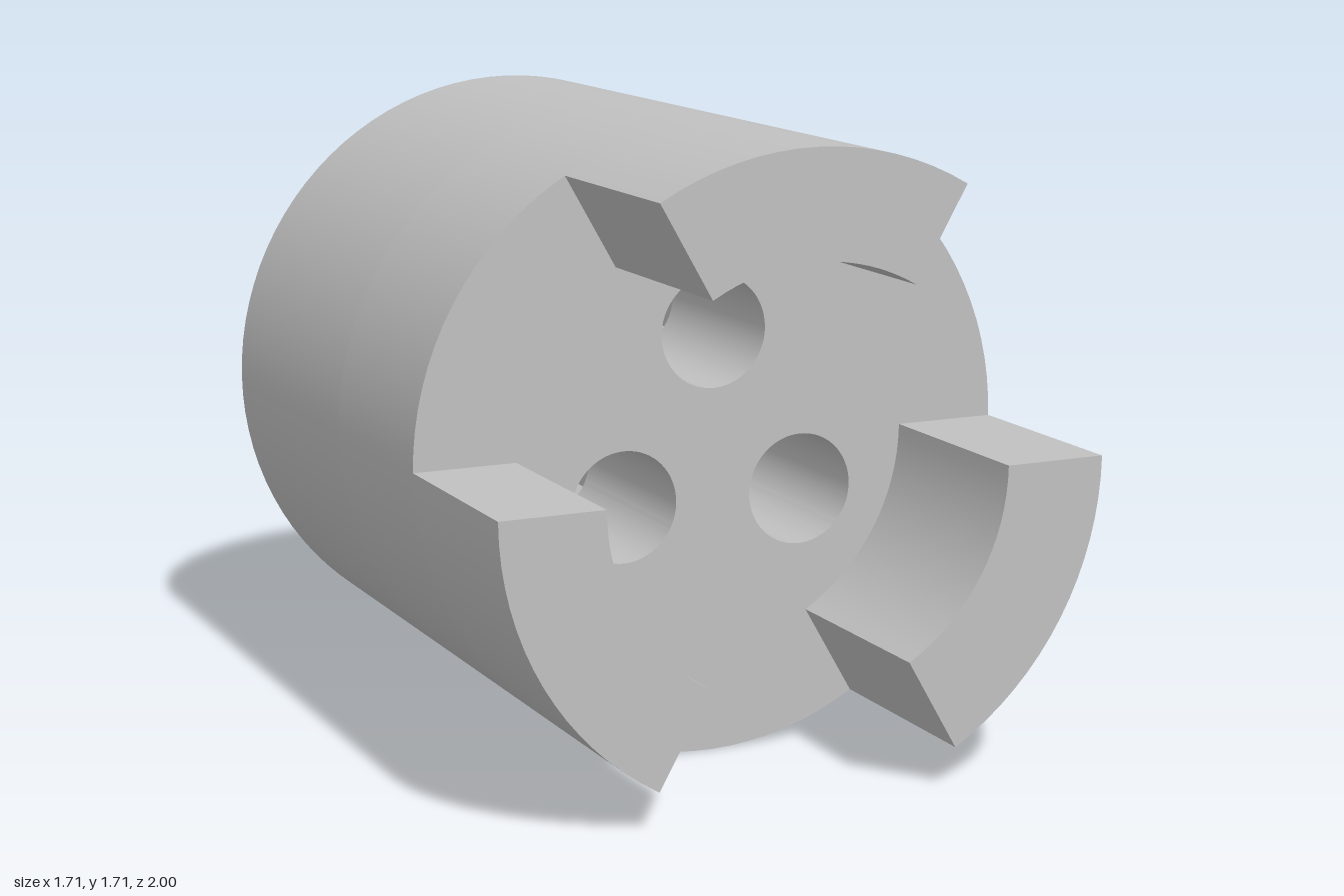
import * as THREE from 'three';
import { toCreasedNormals } from 'three/addons/utils/BufferGeometryUtils.js';

const R = 0.857, INNER = 0.571;               // outer radius, jaw inner radius
const BACK = -1, STEP = -0.14, FACE = 0.429, FRONT = 1;
const BOLT_CIRCLE = 0.303, BORE = 0.153, HEX = 0.261;
const boltAngles = [90, 210, 330].map(THREE.MathUtils.degToRad);

// Extrude a cross-section from z0 to z1, smooth on curves and sharp on edges
function extrude(shape, z0, z1, curveSegments) {
  const geo = new THREE.ExtrudeGeometry(shape, { depth: z1 - z0, bevelEnabled: false, curveSegments });
  geo.translate(0, 0, z0);
  return toCreasedNormals(geo, 0.5);
}

// Full disc with one hole per bolt, made by makeHole(x, y)
function discWithHoles(makeHole) {
  const shape = new THREE.Shape().absarc(0, 0, R, 0, Math.PI * 2, false);
  for (const a of boltAngles) {
    shape.holes.push(makeHole(BOLT_CIRCLE * Math.cos(a), BOLT_CIRCLE * Math.sin(a)));
  }
  return shape;
}

const roundHole = (x, y) => new THREE.Path().absarc(x, y, BORE, 0, Math.PI * 2, true);

// Hexagon with a point at the top
function hexHole(x, y) {
  const pts = [];
  for (let i = 0; i < 6; i++) {
    const a = Math.PI / 2 - i * Math.PI / 3;
    pts.push(new THREE.Vector2(x + HEX * Math.cos(a), y + HEX * Math.sin(a)));
  }
  return new THREE.Path(pts);
}

export function createModel() {
  const group = new THREE.Group();
  group.name = 'jawCoupling';
  const grey = new THREE.MeshStandardMaterial({ color: 0xc0c0c0 });
  grey.name = 'grey';

  const add = (name, geo) => {
    const mesh = new THREE.Mesh(geo, grey);
    mesh.name = name;
    mesh.position.y = R;
    group.add(mesh);
    return mesh;
  };

  // Hub: rear part with hexagonal pockets, front part with round bores
  add('hubRear', extrude(discWithHoles(hexHole), BACK, STEP, 48));
  add('hubFront', extrude(discWithHoles(roundHole), STEP, FACE, 48));

  // Three 60 degree jaws standing on the front face
  for (let i = 0; i < 3; i++) {
    const a0 = Math.PI / 3 + i * Math.PI * 2 / 3, a1 = a0 + Math.PI / 3;
    const jaw = new THREE.Shape();
    jaw.absarc(0, 0, R, a0, a1, false);
    jaw.absarc(0, 0, INNER, a1, a0, true);
    jaw.closePath();
    add('jaw' + (i + 1), extrude(jaw, FACE, FRONT, 8));
  }
  return group;
}
